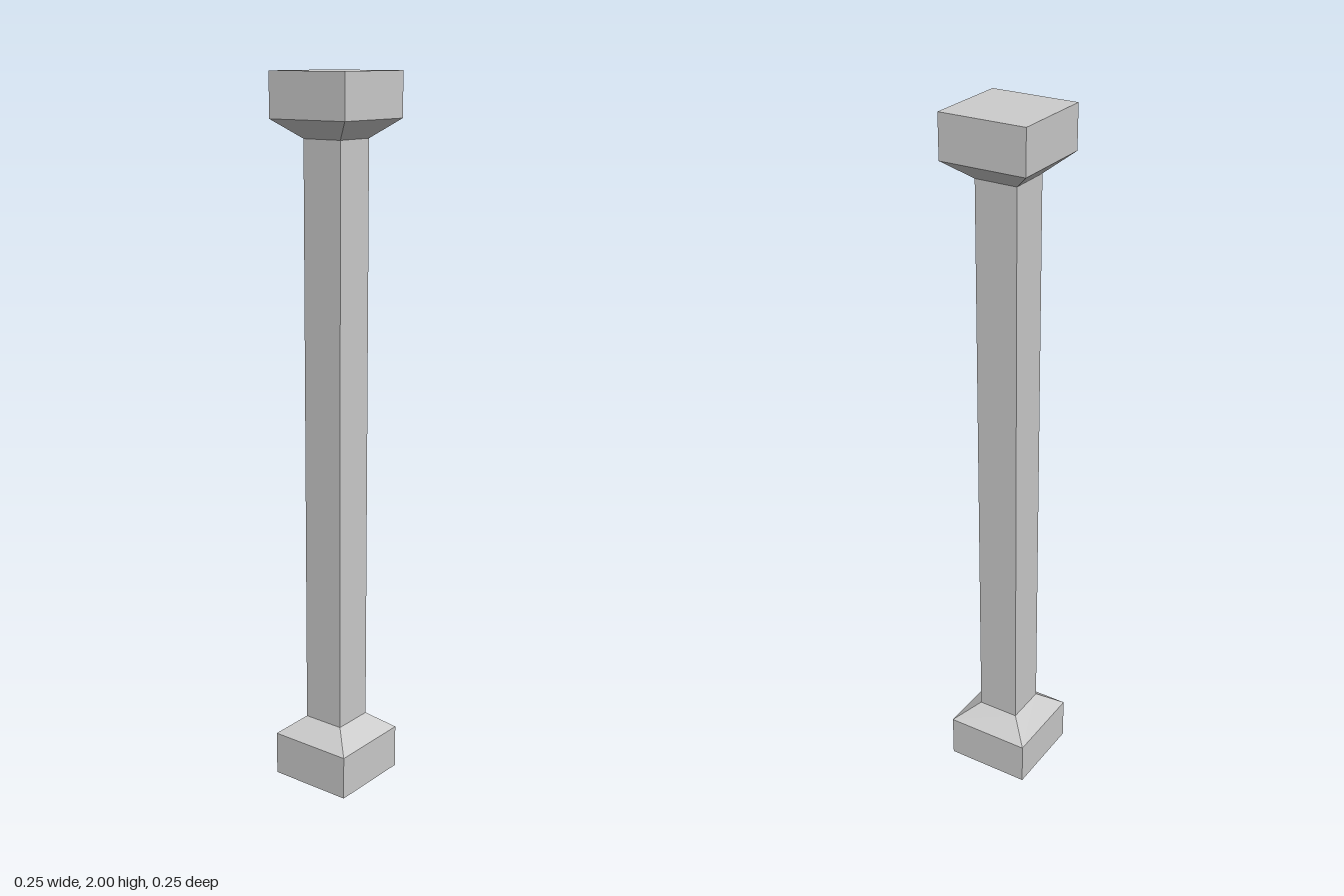
import * as THREE from 'three';

const WIDE = 0.124; // half width of base and capital
const SLIM = 0.061; // half width of shaft

export function createModel() {
  const model = new THREE.Group();
  model.name = 'pillar';
  const material = new THREE.MeshStandardMaterial({
    color: 0xcccccc, flatShading: true, side: THREE.DoubleSide,
  });

  const add = (name, geometry, y) => {
    const mesh = new THREE.Mesh(geometry, material);
    mesh.name = name;
    mesh.position.y = y;
    model.add(mesh);
    return mesh;
  };

  // Open square tube, straight or tapered, between two heights
  const section = (name, y0, y1, half0, half1) => add(
    name,
    new THREE.CylinderGeometry(half1 * Math.SQRT2, half0 * Math.SQRT2, y1 - y0, 4, 1, true, Math.PI / 4),
    (y0 + y1) / 2,
  );

  // Hollow base, open underneath
  section('base', 0, 0.126, WIDE, WIDE);
  section('baseSlope', 0.126, 0.177, WIDE, SLIM);

  section('shaft', 0.177, 1.828, SLIM, SLIM);

  // Capital mirrors the base and is closed on top
  section('capitalSlope', 1.828, 1.879, SLIM, WIDE);
  section('capital', 1.879, 2, WIDE, WIDE);
  add('capitalTop', new THREE.PlaneGeometry(2 * WIDE, 2 * WIDE).rotateX(-Math.PI / 2), 2);

  return model;
}
